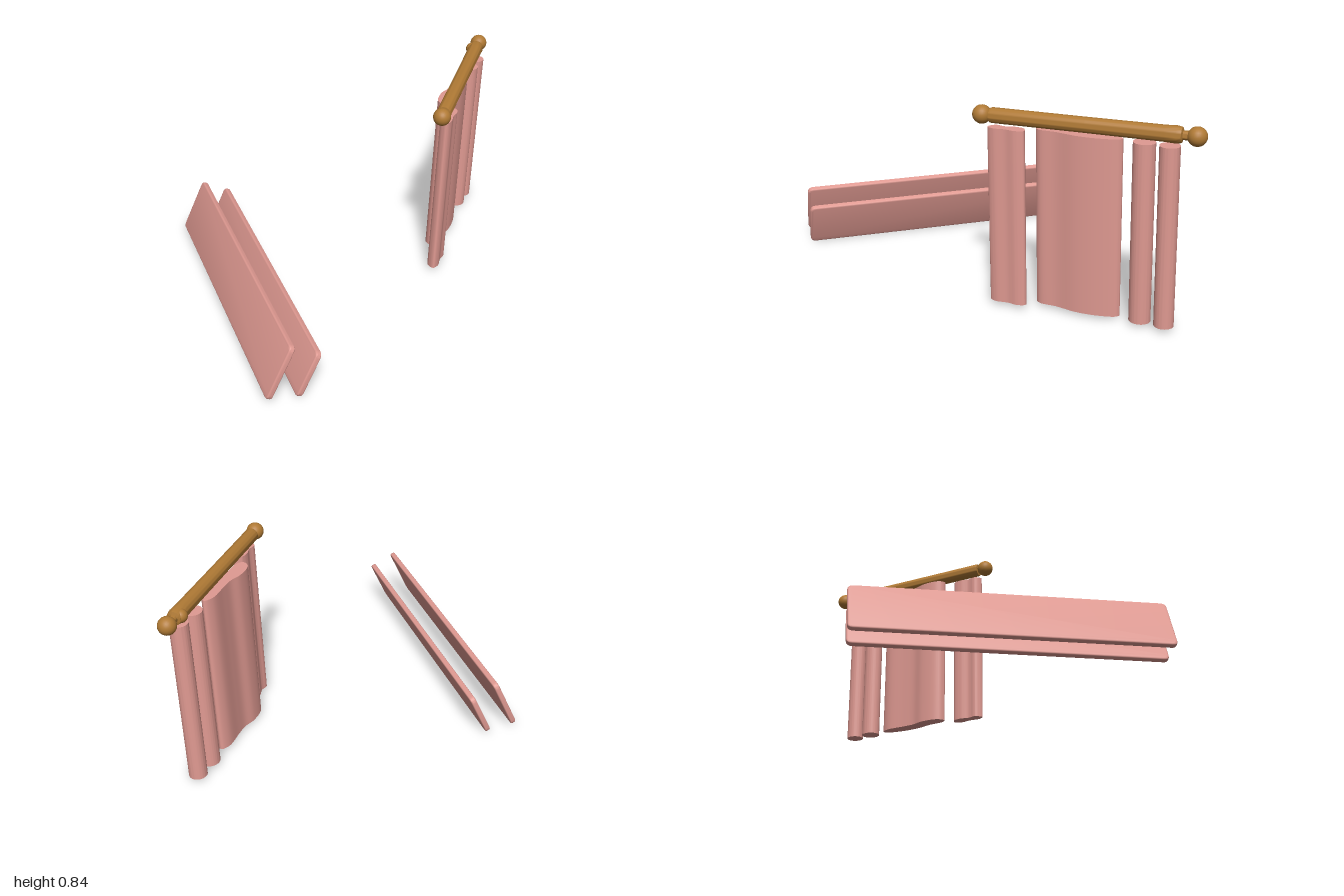
import * as THREE from 'three';
import { toCreasedNormals } from 'three/addons/utils/BufferGeometryUtils.js';

export function createModel() {
  const model = new THREE.Group();
  const pink = new THREE.MeshStandardMaterial({ color: 0xe09a92 });
  pink.name = 'rosePink';
  const wood = new THREE.MeshStandardMaterial({ color: 0xb07a35 });
  wood.name = 'warmWood';

  const add = (parent, name, geometry, material, pos = [0, 0, 0]) => {
    const mesh = new THREE.Mesh(geometry, material);
    mesh.name = name;
    mesh.position.set(...pos);
    parent.add(mesh);
    return mesh;
  };

  // Leaning boards: rounded rectangles with soft edges
  function board(name, width, pos) {
    const bevel = 0.008, r = 0.018;
    const w = 1.35 / 2 - bevel, h = width / 2 - bevel;
    const s = new THREE.Shape();
    s.moveTo(-w + r, -h);
    s.lineTo(w - r, -h); s.quadraticCurveTo(w, -h, w, -h + r);
    s.lineTo(w, h - r); s.quadraticCurveTo(w, h, w - r, h);
    s.lineTo(-w + r, h); s.quadraticCurveTo(-w, h, -w, h - r);
    s.lineTo(-w, -h + r); s.quadraticCurveTo(-w, -h, -w + r, -h);
    const geo = new THREE.ExtrudeGeometry(s, {
      depth: 0.009, bevelSize: bevel, bevelThickness: bevel, bevelSegments: 3, curveSegments: 5,
    });
    geo.center();
    const mesh = add(model, name, toCreasedNormals(geo, 0.6), pink, pos);
    mesh.rotation.set(-0.419, -0.8, 0, 'YXZ');
  }
  board('frontBoard', 0.255, [-0.115, 0.141, 0.47]);
  board('rearBoard', 0.215, [-0.03, 0.107, 0.393]);

  // Hanging folds: closed outlines in [x, -z], extruded upward with a slight lean
  function fold(name, outline) {
    const curve = new THREE.CatmullRomCurve3(
      outline.map(([x, d]) => new THREE.Vector3(x, d, 0)), true, 'centripetal');
    const pts = curve.getPoints(56).slice(0, -1).map(p => new THREE.Vector2(p.x, p.y));
    const geo = new THREE.ExtrudeGeometry(new THREE.Shape(pts), {
      depth: 0.745, bevelEnabled: false,
    });
    geo.rotateX(-Math.PI / 2);
    const p = geo.attributes.position;
    for (let i = 0; i < p.count; i++) p.setX(i, p.getX(i) + 0.015 * p.getY(i) / 0.745);
    add(model, name, toCreasedNormals(geo, 0.7), pink, [0, 0.022, 0]);
  }
  const oval = (cx, cd, rx, rd) => Array.from({ length: 10 }, (_, i) => {
    const a = i * Math.PI / 5;
    return [cx + rx * Math.cos(a), cd + rd * Math.sin(a)];
  });
  fold('nearFold', [
    [0.585, 0.15], [0.598, 0.18], [0.59, 0.23], [0.592, 0.275], [0.575, 0.305],
    [0.545, 0.29], [0.54, 0.25], [0.553, 0.21], [0.55, 0.17],
  ]);
  fold('wideFold', [
    [0.515, 0.327], [0.532, 0.35], [0.53, 0.42], [0.54, 0.51], [0.53, 0.6], [0.505, 0.67],
    [0.485, 0.68], [0.466, 0.64], [0.474, 0.55], [0.477, 0.49], [0.465, 0.43], [0.48, 0.345],
  ]);
  fold('narrowFold', oval(0.487, 0.765, 0.041, 0.044));
  fold('endFold', oval(0.485, 0.865, 0.039, 0.04));

  // Curtain rod with collars, necks and ball ends
  const rod = new THREE.Group();
  rod.name = 'curtainRod';
  const a = new THREE.Vector3(0.588, 0.81, -0.12), b = new THREE.Vector3(0.482, 0.81, -0.962);
  const len = a.distanceTo(b);
  rod.position.copy(a);
  rod.quaternion.setFromUnitVectors(new THREE.Vector3(0, 1, 0), b.clone().sub(a).normalize());
  const profile = [
    [0, 0.02], [0.018, 0.02], [0.018, 0.035], [0.029, 0.036], [0.031, 0.045], [0.031, len / 2],
    [0.032, len - 0.12], [0.034, len - 0.075], [0.03, len - 0.056], [0.018, len - 0.052],
    [0.018, len - 0.02], [0, len - 0.02],
  ].map(([x, y]) => new THREE.Vector2(x, y));
  add(rod, 'rodShaft', toCreasedNormals(new THREE.LatheGeometry(profile, 28), 0.7), wood);
  for (const [name, y] of [['nearBall', 0], ['farBall', len]]) {
    add(rod, name, new THREE.SphereGeometry(0.038, 24, 16), wood, [0, y, 0]);
  }
  model.add(rod);

  // Small knob beside the far end of the rod
  add(model, 'rodKnob', new THREE.SphereGeometry(0.029, 20, 14), wood, [0.477, 0.81, -0.878]);

  return model;
}
